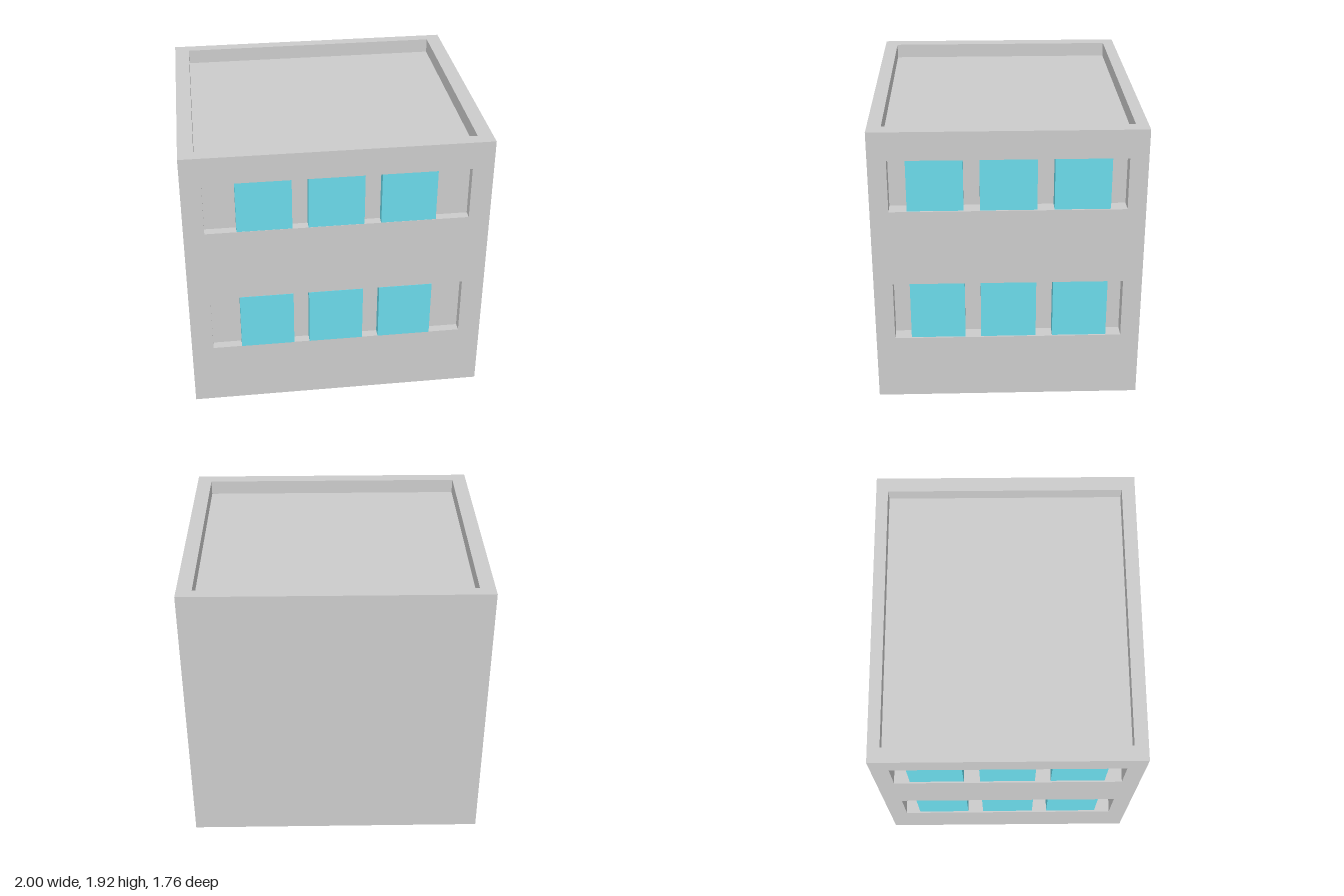
import * as THREE from 'three';

const GREY = new THREE.MeshStandardMaterial({ color: 0xcccccc, flatShading: true });
const GLASS = new THREE.MeshStandardMaterial({ color: 0x6bdaea, flatShading: true });

const HEIGHT = 1.92, ROOF = 1.82;      // parapet top, roof deck
const HALF_X = 1, HALF_Z = 0.88;       // footprint
const FRONT_DEPTH = 0.06, SIDE_DEPTH = 0.1; // depth of window recesses

function rect(Type, x0, x1, y0, y1) {
  const p = new Type();
  p.moveTo(x0, y0);
  p.lineTo(x1, y0);
  p.lineTo(x1, y1);
  p.lineTo(x0, y1);
  p.closePath();
  return p;
}

function box(name, material, x0, x1, y0, y1, z0, z1) {
  const mesh = new THREE.Mesh(new THREE.BoxGeometry(x1 - x0, y1 - y0, z1 - z0), material);
  mesh.position.set((x0 + x1) / 2, (y0 + y1) / 2, (z0 + z1) / 2);
  mesh.name = name;
  return mesh;
}

// A wall facing local +z, with its inner face on z = 0, long openings and window blocks
function windowWall(name, x0, x1, depth, rows, columns) {
  const group = new THREE.Group();
  group.name = name;
  const shape = rect(THREE.Shape, x0, x1, 0, ROOF);
  for (const r of rows) shape.holes.push(rect(THREE.Path, r.x0, r.x1, r.y0, r.y1));
  const wall = new THREE.Mesh(new THREE.ExtrudeGeometry(shape, { depth, bevelEnabled: false }), GREY);
  wall.name = name + 'Panel';
  group.add(wall);
  for (const r of rows) {
    for (const [a, b] of columns) {
      group.add(box('window', GLASS, a, b, r.y0, r.y1, 0, depth + r.offset));
    }
  }
  return group;
}

export function createModel() {
  const model = new THREE.Group();
  model.name = 'building';

  // Solid core: closes the recesses, carries the roof deck and the plain back wall
  model.add(box('core', GREY, -HALF_X + SIDE_DEPTH, HALF_X - SIDE_DEPTH, 0, ROOF, -HALF_Z, HALF_Z - FRONT_DEPTH));

  // Front wall
  const front = windowWall('frontWall', -HALF_X, HALF_X, FRONT_DEPTH, [
    { x0: -0.855, x1: 0.85, y0: 0.445, y1: 0.855, offset: 0.002 },
    { x0: -0.865, x1: 0.86, y0: 1.37, y1: 1.73, offset: -0.002 },
  ], [[-0.66, -0.30], [-0.195, 0.17], [0.28, 0.64]]);
  front.position.z = HALF_Z - FRONT_DEPTH;
  model.add(front);

  // Side walls: local x runs along -z on the left wall and along +z on the right wall
  for (const s of [1, -1]) {
    const span = (a, b) => (s > 0 ? [-b, -a] : [a, b]);
    const row = (z0, z1, y0, y1) => {
      const [x0, x1] = span(z0, z1);
      return { x0, x1, y0, y1, offset: -0.01 };
    };
    const [x0, x1] = span(-HALF_Z, HALF_Z - FRONT_DEPTH);
    const side = windowWall(s > 0 ? 'leftWall' : 'rightWall', x0, x1, SIDE_DEPTH, [
      row(-0.755, 0.755, 0.45, 0.86),
      row(-0.76, 0.76, 1.38, 1.73),
    ], [span(0.285, 0.645), span(-0.185, 0.18), span(-0.655, -0.295)]);
    side.rotation.y = s * Math.PI / 2;
    side.position.x = s * (HALF_X - SIDE_DEPTH);
    model.add(side);
  }

  // Parapet ring around the roof deck
  const ring = rect(THREE.Shape, -HALF_X, HALF_X, -HALF_Z, HALF_Z);
  ring.holes.push(rect(THREE.Path, -0.9, 0.9, -0.79, 0.8));
  const parapet = new THREE.Mesh(
    new THREE.ExtrudeGeometry(ring, { depth: HEIGHT - ROOF, bevelEnabled: false }), GREY);
  parapet.rotation.x = -Math.PI / 2;
  parapet.position.y = ROOF;
  parapet.name = 'parapet';
  model.add(parapet);

  return model;
}
